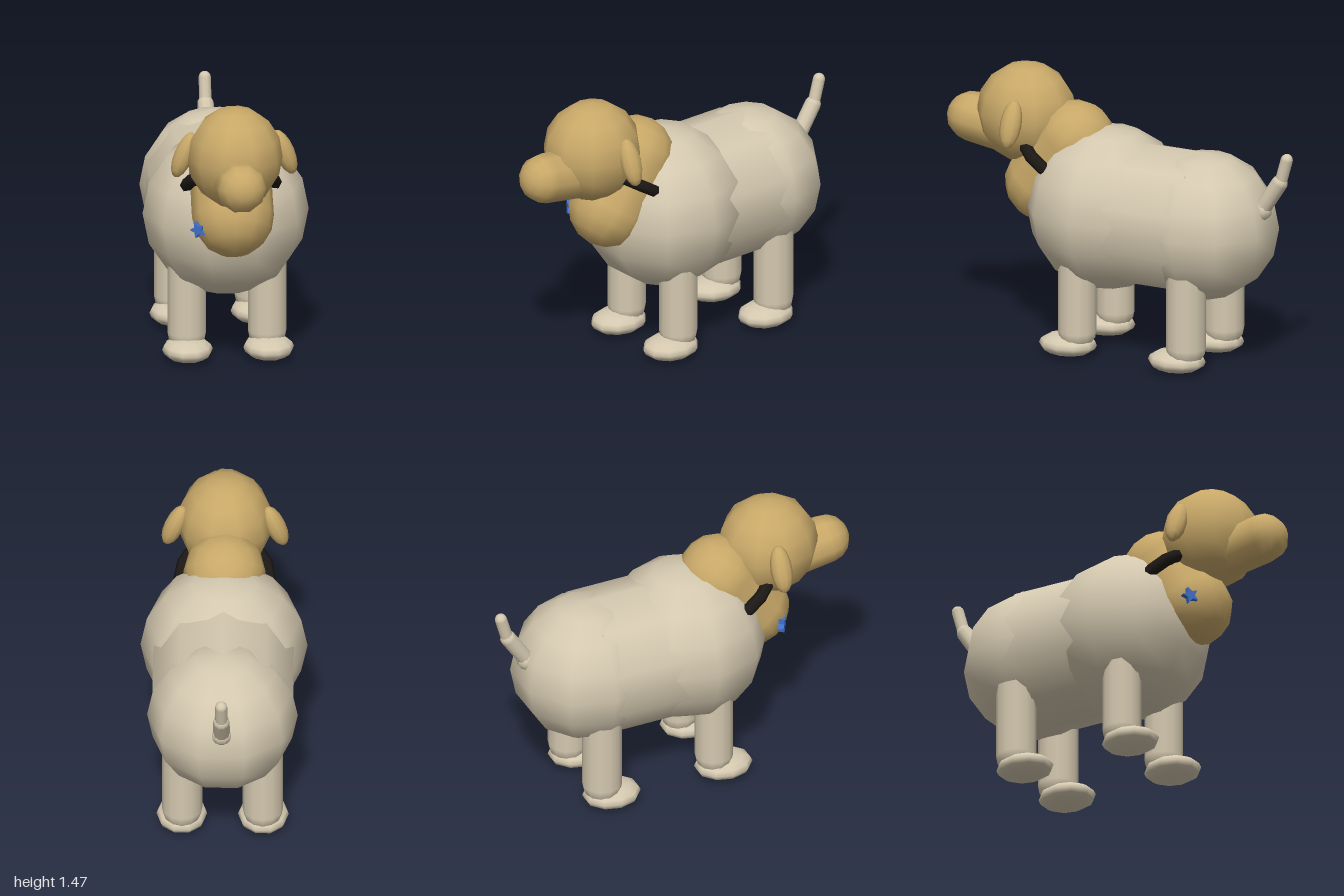
import * as THREE from 'three';

const mat = (color) => new THREE.MeshStandardMaterial({ color });
const UP = new THREE.Vector3(0, 1, 0);

export function createModel() {
  const model = new THREE.Group();
  const cream = mat(0xd4c8af), tan = mat(0xc8a868), black = mat(0x1c1815), blue = mat(0x3f6fc8);

  const add = (name, geometry, material, x, y, z) => {
    const mesh = new THREE.Mesh(geometry, material);
    mesh.name = name;
    mesh.position.set(x, y, z);
    model.add(mesh);
    return mesh;
  };

  // Low-sided ellipsoid with half sizes rx, ry, rz
  const ball = (name, material, x, y, z, rx, ry = rx, rz = rx) => {
    const geometry = new THREE.SphereGeometry(1, 10, 8);
    const mesh = add(name, geometry, material, x, y, z);
    mesh.scale.set(rx, ry, rz);
    return mesh;
  };

  // Capsule whose cap centres are the points a and b
  const capsule = (name, material, a, b, r, sides = 10) => {
    const p = new THREE.Vector3(...a), q = new THREE.Vector3(...b);
    const d = q.clone().sub(p);
    const mid = p.clone().add(q).multiplyScalar(0.5);
    const mesh = add(name, new THREE.CapsuleGeometry(r, d.length(), 4, sides), material, mid.x, mid.y, mid.z);
    mesh.quaternion.setFromUnitVectors(UP, d.normalize());
    return mesh;
  };

  // Body
  ball('chest', cream, 0, 0.765, 0.075, 0.43);
  ball('hips', cream, 0, 0.745, -0.49, 0.388);
  const barrel = add('barrel', new THREE.CylinderGeometry(0.38, 0.38, 0.56, 10), cream, 0, 0.752, -0.21);
  barrel.rotation.x = Math.PI / 2;

  // Neck, head and muzzle
  capsule('neck', tan, [0, 1.09, 0.27], [0, 0.85, 0.44], 0.212, 12);
  ball('head', tan, 0, 1.205, 0.55, 0.247, 0.265, 0.265);
  capsule('muzzle', tan, [0, 1.1, 0.65], [0, 1.135, 0.87], 0.13);

  // Collar, square to the neck
  const collar = add('collar', new THREE.TorusGeometry(0.23, 0.034, 6, 16), black, 0, 0.994, 0.338);
  collar.quaternion.setFromUnitVectors(new THREE.Vector3(0, 0, 1), new THREE.Vector3(0, -0.85, 0.52).normalize());

  // Small star tag on the lower neck
  const star = new THREE.Shape();
  for (let i = 0; i < 10; i++) {
    const r = i % 2 ? 0.022 : 0.045, t = (i * Math.PI) / 5;
    star[i ? 'lineTo' : 'moveTo'](r * Math.sin(t), r * Math.cos(t));
  }
  star.closePath();
  const tag = add('tag', new THREE.ExtrudeGeometry(star, { depth: 0.03, bevelEnabled: false }), blue, -0.18, 0.815, 0.53);
  tag.rotation.set(0, -0.6, 0.4);

  for (const side of [1, -1]) {
    const label = side > 0 ? 'left' : 'right';

    // Ears hang outwards
    const ear = ball(label + 'Ear', tan, side * 0.26, 1.21, 0.505, 0.052, 0.127, 0.057);
    ear.rotation.z = side * 0.38;

    // Legs and paws
    for (const [end, z, r] of [['Front', 0.145, 0.1], ['Rear', -0.49, 0.104]]) {
      capsule(label + end + 'Leg', cream, [side * 0.208, 0.14, z], [side * 0.208, 0.55, z], r, 12);
      ball(label + end + 'Paw', cream, side * 0.21, 0.064, z + 0.053, 0.131, 0.061, 0.155);
    }
  }

  // Tail in two tapering joints
  ball('tailRoot', cream, 0, 0.87, -0.82, 0.055);
  capsule('tailLower', cream, [0, 0.87, -0.82], [0, 1.03, -0.925], 0.043);
  capsule('tailUpper', cream, [0, 1.03, -0.93], [0, 1.16, -0.967], 0.032);

  return model;
}
